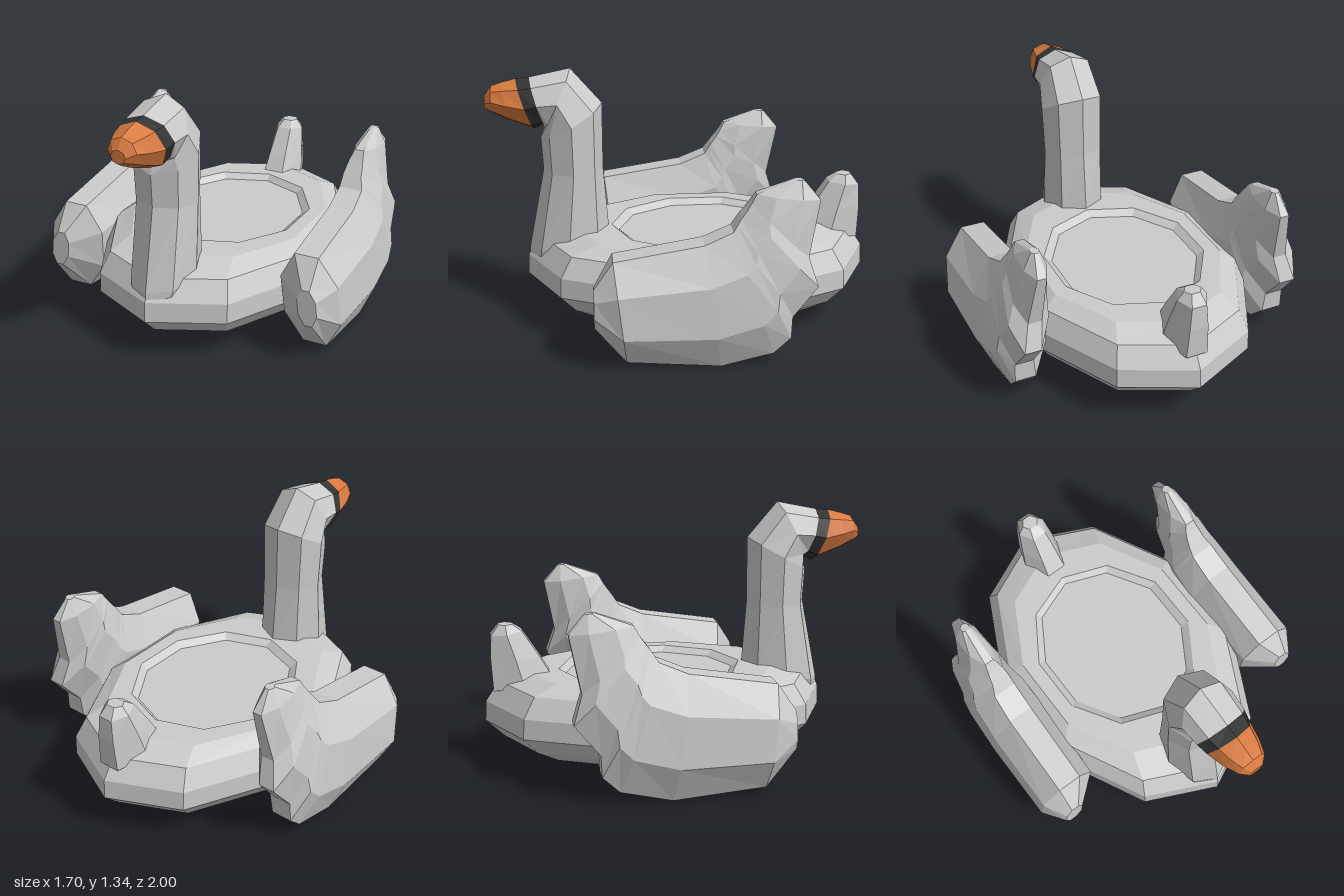
import * as THREE from 'three';

const grey = new THREE.MeshStandardMaterial({ color: 0xcccccc, flatShading: true });
const black = new THREE.MeshStandardMaterial({ color: 0x333333, flatShading: true });
const orange = new THREE.MeshStandardMaterial({ color: 0xd97a40, flatShading: true });

// Closed low-poly loft. Each ring: [z1, y1, z2, y2, halfWidth, x1, x2],
// an ellipse in which the points (x1, y1, z1) and (x2, y2, z2) are opposite ends.
function loft(name, rings, material, sides = 8, flatEnds = false) {
  const offset = flatEnds ? 0.5 : 0;
  const grow = flatEnds ? 1 / Math.cos(Math.PI / sides) : 1;
  const loops = rings.map(([z1, y1, z2, y2, w, x1 = 0, x2 = 0]) => {
    const mid = new THREE.Vector3((x1 + x2) / 2, (y1 + y2) / 2, (z1 + z2) / 2);
    const up = new THREE.Vector3(x1, y1, z1).sub(mid);
    const points = [];
    for (let k = 0; k < sides; k++) {
      const a = ((k + offset) / sides) * Math.PI * 2;
      const p = mid.clone().addScaledVector(up, Math.cos(a) * grow);
      p.x += Math.sin(a) * w * grow;
      points.push(p);
    }
    return { mid, points };
  });

  const pos = [];
  const tri = (...pts) => pts.forEach((p) => pos.push(p.x, p.y, p.z));
  const first = loops[0];
  const last = loops[loops.length - 1];
  for (let k = 0; k < sides; k++) {
    const n = (k + 1) % sides;
    tri(first.mid, first.points[n], first.points[k]);
    tri(last.mid, last.points[k], last.points[n]);
    for (let i = 0; i + 1 < loops.length; i++) {
      const p = loops[i].points;
      const q = loops[i + 1].points;
      tri(p[k], p[n], q[n]);
      tri(p[k], q[n], q[k]);
    }
  }
  const geometry = new THREE.BufferGeometry();
  geometry.setAttribute('position', new THREE.Float32BufferAttribute(pos, 3));
  geometry.computeVertexNormals();
  const mesh = new THREE.Mesh(geometry, material);
  mesh.name = name;
  return mesh;
}

export function createModel() {
  const model = new THREE.Group();
  model.name = 'swanFloat';

  // Ten-sided float with a shallow sunken seat: [half length, height, centre z, half width]
  const bodyRings = [
    [0.68, 0.07, -0.095, 0.475],
    [0.81, 0.13, -0.095, 0.56],
    [0.905, 0.22, -0.095, 0.625],
    [0.9, 0.325, -0.095, 0.625],
    [0.83, 0.43, -0.095, 0.575],
    [0.67, 0.48, -0.11, 0.5],
    [0.485, 0.48, -0.125, 0.42],
    [0.45, 0.45, -0.13, 0.38],
  ].map(([l, y, z, w]) => [z + l, y, z - l, y, w]);
  model.add(loft('floatBody', bodyRings, grey, 10));

  // Neck rises from the front and bends forward into the head
  const headEnd = [0.695, 1.045, 0.77, 1.292, 0.145];
  const beakBase = [0.75, 1.02, 0.84, 1.285, 0.132];
  model.add(loft('neckAndHead', [
    [0.8, 0.25, 0.38, 0.36, 0.13],
    [0.795, 0.37, 0.375, 0.47, 0.17],
    [0.71, 0.8, 0.4, 0.8, 0.167],
    [0.72, 0.97, 0.4, 1.15, 0.175],
    [0.7, 1.02, 0.56, 1.335, 0.155],
    headEnd,
  ], grey));

  // Dark band between head and beak
  model.add(loft('faceBand', [headEnd, beakBase], black));

  model.add(loft('beak', [
    beakBase,
    [0.87, 1.065, 0.91, 1.268, 0.11],
    [0.965, 1.11, 0.965, 1.25, 0.08],
    [1.0, 1.13, 1.0, 1.2, 0.04],
  ], orange));

  // Upright tail at the back
  model.add(loft('tail', [
    [-0.64, 0.44, -0.955, 0.39, 0.1],
    [-0.71, 0.56, -0.965, 0.56, 0.085],
    [-0.8, 0.7, -0.96, 0.68, 0.068],
    [-0.85, 0.735, -0.92, 0.735, 0.04],
  ], grey, 6, true));

  // Wings: swept from the front shoulder, then bending up into a narrow rear tip
  const wingRings = [
    [0.475, 0.41, 0.475, 0.22, 0.05, 0.71, 0.73],
    [0.38, 0.55, 0.32, 0.04, 0.155, 0.67, 0.705],
    [-0.06, 0.62, -0.14, 0.0, 0.16, 0.665, 0.7],
    [-0.2, 0.68, -0.4, 0.06, 0.15, 0.66, 0.705],
    [-0.22, 0.71, -0.485, 0.14, 0.135, 0.655, 0.715],
    [-0.24, 0.74, -0.49, 0.25, 0.12, 0.65, 0.72],
    [-0.27, 0.78, -0.615, 0.4, 0.105, 0.65, 0.715],
    [-0.29, 0.81, -0.57, 0.54, 0.088, 0.65, 0.685],
    [-0.315, 0.855, -0.625, 0.82, 0.06, 0.655, 0.66],
    [-0.5, 0.922, -0.545, 0.917, 0.022, 0.655, 0.655],
  ];
  for (const [name, side] of [['leftWing', 1], ['rightWing', -1]]) {
    const rings = wingRings.map((r) => [...r.slice(0, 5), side * r[5], side * r[6]]);
    model.add(loft(name, rings, grey, 8, true));
  }
  return model;
}
